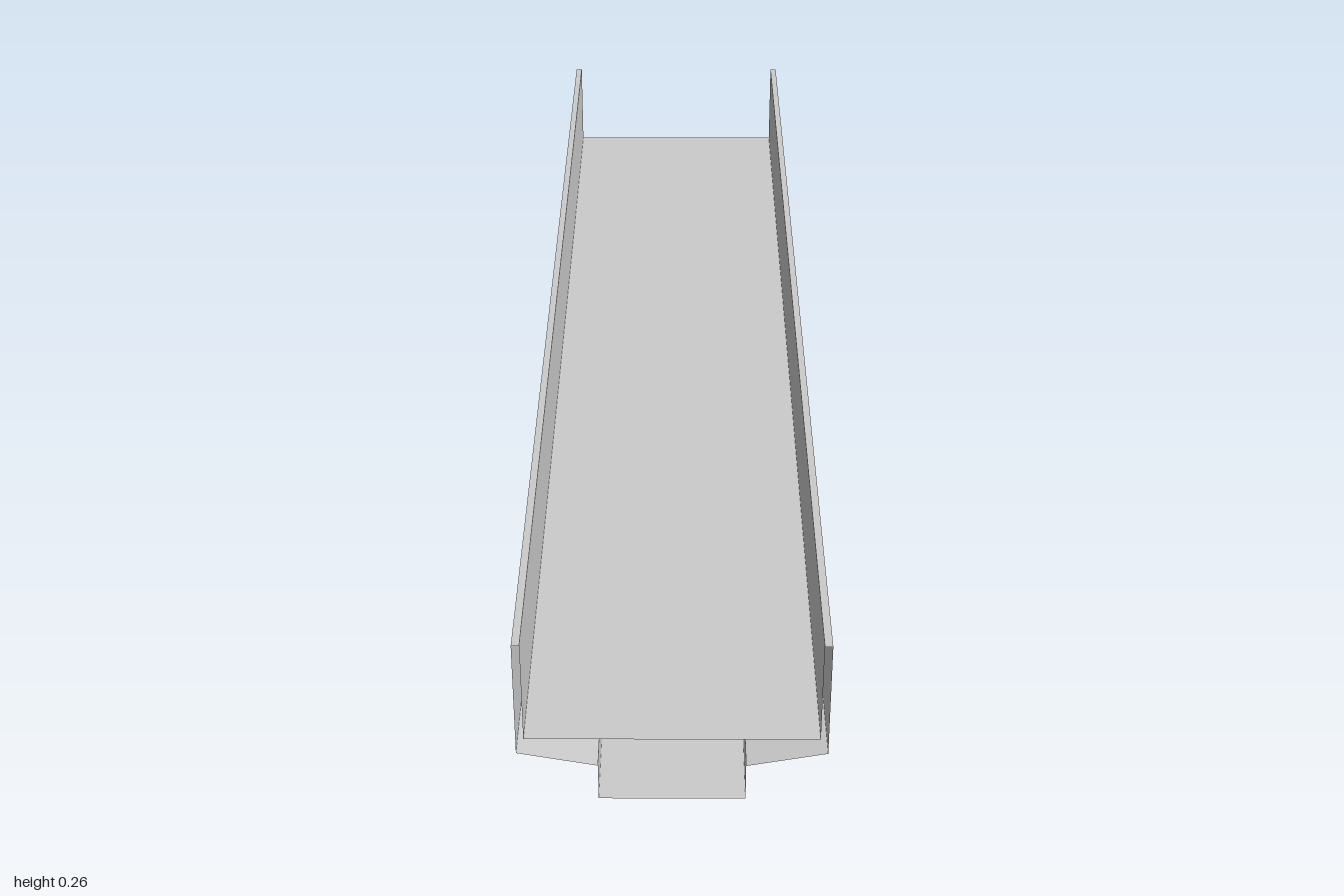
import * as THREE from 'three';

const material = new THREE.MeshStandardMaterial({
  color: 0xcccccc, flatShading: true, side: THREE.DoubleSide,
});

// Sweep an open [x, y] profile along z as flat panels, with open ends.
function sweep(name, profile) {
  const positions = [];
  for (let i = 0; i < profile.length - 1; i++) {
    const [ax, ay] = profile[i];
    const [bx, by] = profile[i + 1];
    positions.push(ax, ay, 1, bx, by, 1, bx, by, -1);
    positions.push(ax, ay, 1, bx, by, -1, ax, ay, -1);
  }
  const geometry = new THREE.BufferGeometry();
  geometry.setAttribute('position', new THREE.Float32BufferAttribute(positions, 3));
  geometry.computeVertexNormals();
  const mesh = new THREE.Mesh(geometry, material);
  mesh.name = name;
  return mesh;
}

export function createModel() {
  const group = new THREE.Group();
  group.name = 'channelBeam';

  const outer = 0.214, inner = 0.203;   // faces of the side walls
  const top = 0.265, deck = 0.106;      // wall top and deck heights
  const wallFoot = 0.081, lip = 0.059;  // ends of the sloping underside
  const keel = 0.102;                   // half width of the lower channel

  // Thin upright walls and sloping underside, mirrored left and right
  const wall = [[outer, wallFoot], [outer, top], [inner, top], [inner, deck]];
  const slope = [[keel, lip], [outer, wallFoot]];
  const mirror = (profile) => profile.map(([x, y]) => [-x, y]);
  group.add(sweep('leftWall', [...wall].reverse()));
  group.add(sweep('rightWall', mirror(wall)));
  group.add(sweep('leftUnderside', [...slope].reverse()));
  group.add(sweep('rightUnderside', mirror(slope)));

  // Flat deck between the walls
  group.add(sweep('deck', [[-inner, deck], [inner, deck]]));

  // Square channel hanging below
  group.add(sweep('lowerChannel', [[keel, lip], [keel, 0], [-keel, 0], [-keel, lip]]));

  return group;
}
